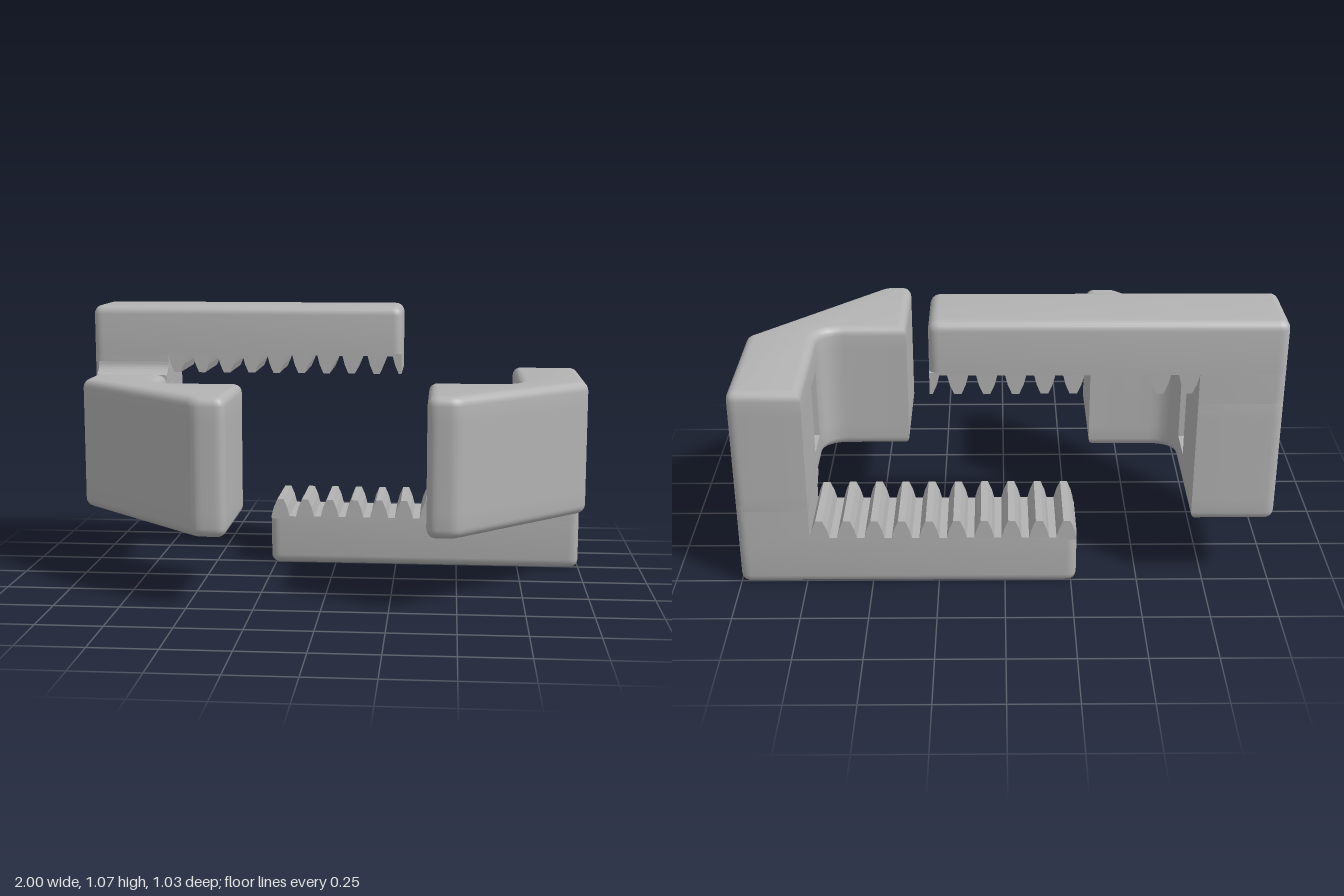
import * as THREE from 'three';
import { toCreasedNormals } from 'three/addons/utils/BufferGeometryUtils.js';

const BACK = -0.52, FRONT = 0.515, RACK_FRONT = -0.22;
const BEVEL = 0.035, STEPS = 5;

const grey = new THREE.MeshStandardMaterial({ color: 0xb3b3b3 });
grey.name = 'grey';

// Plan outline from [x, z, radius] corners; a radius rounds the corner
function outline(corners) {
  const pts = [];
  corners.forEach(([x, z, r], i) => {
    const p = new THREE.Vector2(x, z);
    if (!r) return pts.push(p);
    const n = corners.length;
    const toward = (c) => new THREE.Vector2(c[0], c[1]).sub(p).setLength(r).add(p);
    const a = toward(corners[(i + n - 1) % n]), b = toward(corners[(i + 1) % n]);
    pts.push(...new THREE.QuadraticBezierCurve(a, p, b).getPoints(6));
  });
  return pts;
}

// Outline moved inward by d, with mitred corners
function inset(pts, d) {
  const n = pts.length;
  const inward = (a, b) => new THREE.Vector2(a.y - b.y, b.x - a.x).normalize();
  return pts.map((p, i) => {
    const n1 = inward(pts[(i + n - 1) % n], p), n2 = inward(p, pts[(i + 1) % n]);
    return n1.clone().add(n2).multiplyScalar(d / (1 + n1.dot(n2))).add(p);
  });
}

// [height, inset] layers of a rounded bottom or top edge
function roundedEdge(y, dir) {
  const layers = [];
  for (let k = 0; k <= STEPS; k++) {
    const a = (k / STEPS) * Math.PI / 2;
    layers.push([y + dir * BEVEL * (1 - Math.cos(a)), BEVEL * (1 - Math.sin(a))]);
  }
  return dir > 0 ? layers : layers.reverse();
}

const quad = (out, a, b, c, d) => out.push(...a, ...b, ...c, ...a, ...c, ...d);

function finish(out) {
  const g = new THREE.BufferGeometry();
  g.setAttribute('position', new THREE.Float32BufferAttribute(out, 3));
  return toCreasedNormals(g, 0.5);
}

// Stack of plan outlines, closed by caps; open(x, y, z) leaves out wall faces
function stack(pts, layers, open = () => false) {
  const out = [];
  const rings = layers.map(([y, d]) => inset(pts, d).map((p) => [p.x, y, p.y]));
  for (let l = 0; l < rings.length - 1; l++) {
    pts.forEach((_, i) => {
      const j = (i + 1) % pts.length;
      const a = rings[l][i], b = rings[l + 1][i], c = rings[l + 1][j], d = rings[l][j];
      if (!open((a[0] + d[0]) / 2, (a[1] + b[1]) / 2, (a[2] + d[2]) / 2)) quad(out, a, b, c, d);
    });
  }
  [rings[0], rings[rings.length - 1]].forEach((ring, top) => {
    const flat = ring.map((p) => new THREE.Vector2(p[0], p[2]));
    for (const t of THREE.ShapeUtils.triangulateShape(flat, [])) {
      const [a, b, c] = t.map((i) => ring[i]);
      const up = (b[2] - a[2]) * (c[0] - a[0]) - (b[0] - a[0]) * (c[2] - a[2]) > 0;
      out.push(...a, ...(up === !!top ? [...b, ...c] : [...c, ...b]));
    }
  });
  return out;
}

// Jaw: leg with a window, bent to a hooked gripping end
function jawGeometry(inner, shift) {
  const bend = 0.01 - shift * 0.8;
  const hole = { z0: -0.22, z1: -0.07, y0: 0.4, y1: 0.68 };
  const flare = { z0: -0.25, z1: -0.05, y0: 0.375, y1: 0.71 };
  const pts = outline([
    [1, BACK, 0.04], [1, flare.z0], [1, flare.z1], [1, bend, 0.02],
    [1 + bend - FRONT, FRONT, 0.03], [0.385 - shift, FRONT, 0.04], [0.385 - shift, 0.07],
    [inner, 0.07, 0.1], [inner, hole.z1], [inner, hole.z0], [inner, BACK],
  ]);
  const layers = [
    ...roundedEdge(0.28, 1),
    [flare.y0, 0], [hole.y0, 0], [hole.y1, 0], [flare.y1, 0],
    ...roundedEdge(0.8, -1),
  ];
  const inside = (w, y, z) => z > w.z0 && z < w.z1 && y > w.y0 && y < w.y1;
  const out = stack(pts, layers, (x, y, z) =>
    (x > 0.999 && inside(flare, y, z)) || (Math.abs(x - inner) < 0.001 && inside(hole, y, z)));

  // Window walls with a flared outer rim
  const ring = (x, w) => [[x, w.y0, w.z0], [x, w.y0, w.z1], [x, w.y1, w.z1], [x, w.y1, w.z0]];
  const rings = [ring(1, flare), ring(0.97, hole), ring(inner, hole)];
  for (let r = 0; r < 2; r++) {
    for (let i = 0; i < 4; i++) {
      const j = (i + 1) % 4;
      quad(out, rings[r][i], rings[r + 1][i], rings[r + 1][j], rings[r][j]);
    }
  }
  return finish(out);
}

// Row of ten gear teeth on the rack
function teethGeometry(inner, shift) {
  const s = new THREE.Shape();
  const end = -0.268;
  s.moveTo(inner, 0.19);
  s.lineTo(inner, 0.2);
  const profile = [[0.0375, 0.2], [0.028, 0.237], [0.013, 0.272], [-0.013, 0.272], [-0.028, 0.237], [-0.0375, 0.2]];
  for (let k = 9; k >= 0; k--) {
    const centre = -0.23 - shift + k * 0.1025;
    for (const [dx, y] of profile) s.lineTo(Math.min(inner, Math.max(end, centre + dx)), y);
  }
  s.lineTo(end, 0.19);
  const g = new THREE.ExtrudeGeometry(s, { depth: RACK_FRONT - BACK, bevelEnabled: false });
  return g.translate(0, 0, BACK);
}

// Concave fillet between the rack's post and the underside of the jaw
function filletGeometry(inner) {
  const s = new THREE.Shape();
  const r = 0.05;
  s.moveTo(0.02, 0.31);
  s.lineTo(0.02, 0.28 - r);
  s.lineTo(0, 0.28 - r);
  s.absarc(-r, 0.28 - r, r, 0, Math.PI / 2, false);
  s.lineTo(-r, 0.31);
  const g = new THREE.ExtrudeGeometry(s, { depth: 0.98 - inner, bevelEnabled: false, curveSegments: 8 });
  // Profile x runs toward -z, depth runs along +x
  return toCreasedNormals(g.rotateY(Math.PI / 2).translate(inner, 0, RACK_FRONT), 0.5);
}

// One finger; shift moves its gripping side and teeth inward
function finger(name, shift) {
  const group = new THREE.Group();
  group.name = name;
  const inner = 0.73 - shift;
  const add = (part, geometry) => {
    const mesh = new THREE.Mesh(geometry, grey);
    mesh.name = part;
    group.add(mesh);
  };
  add('jaw', jawGeometry(inner, shift));
  const bar = outline([[1, BACK, 0.04], [1, RACK_FRONT, 0.04], [-0.27, RACK_FRONT, 0.04], [-0.27, BACK, 0.04]]);
  add('rackBar', finish(stack(bar, [...roundedEdge(0, 1), [0.2, 0]])));
  const post = outline([[1, BACK, 0.04], [1, RACK_FRONT, 0.04], [inner, RACK_FRONT], [inner, BACK]]);
  add('rackPost', finish(stack(post, [[0.19, 0], [0.34, 0]])));
  add('rackTeeth', teethGeometry(inner, shift));
  add('fillet', filletGeometry(inner));
  return group;
}

export function createModel() {
  const model = new THREE.Group();
  model.name = 'gripperFingers';
  const lower = finger('lowerRackFinger', 0);
  // The second finger is turned over to face the first
  const upper = finger('upperRackFinger', 0.04);
  upper.rotation.z = Math.PI;
  upper.position.y = 1.07;
  model.add(lower, upper);
  return model;
}
